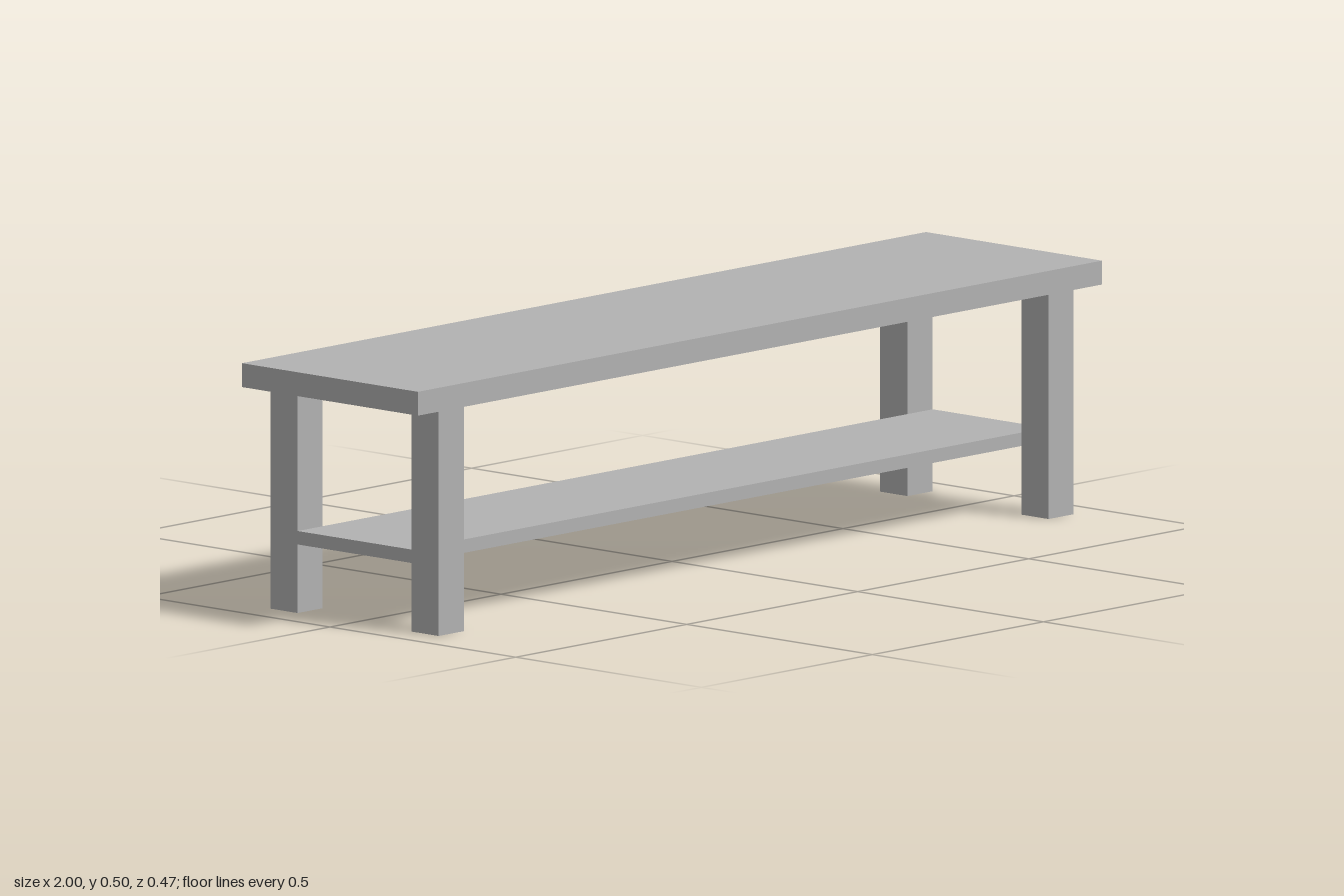
import * as THREE from 'three';

export function createModel() {
  const group = new THREE.Group();
  const grey = new THREE.MeshStandardMaterial({ color: 0xb2b2b2 });
  grey.name = 'grey';

  // Box given by its size, its centre in x and z, and its underside height
  const box = (name, w, h, d, x, bottom, z) => {
    const mesh = new THREE.Mesh(new THREE.BoxGeometry(w, h, d), grey);
    mesh.name = name;
    mesh.position.set(x, bottom + h / 2, z);
    group.add(mesh);
  };

  const legHeight = 0.454, legSize = 0.0735, legX = 0.8915, legZ = 0.19;

  box('benchTop', 2, 0.048, 0.474, 0, legHeight, 0);

  // Four square legs
  for (const [side, sx] of [['Left', 1], ['Right', -1]]) {
    for (const [end, sz] of [['front', 1], ['back', -1]]) {
      box(`${end}${side}Leg`, legSize, legHeight, legSize, sx * legX, 0, sz * legZ);
    }
  }

  // Low shelf fitted between the front and back legs, flush with their outer ends
  box('shelf', 2 * legX + legSize, 0.027, 2 * legZ - legSize, 0, 0.138, 0);

  return group;
}
